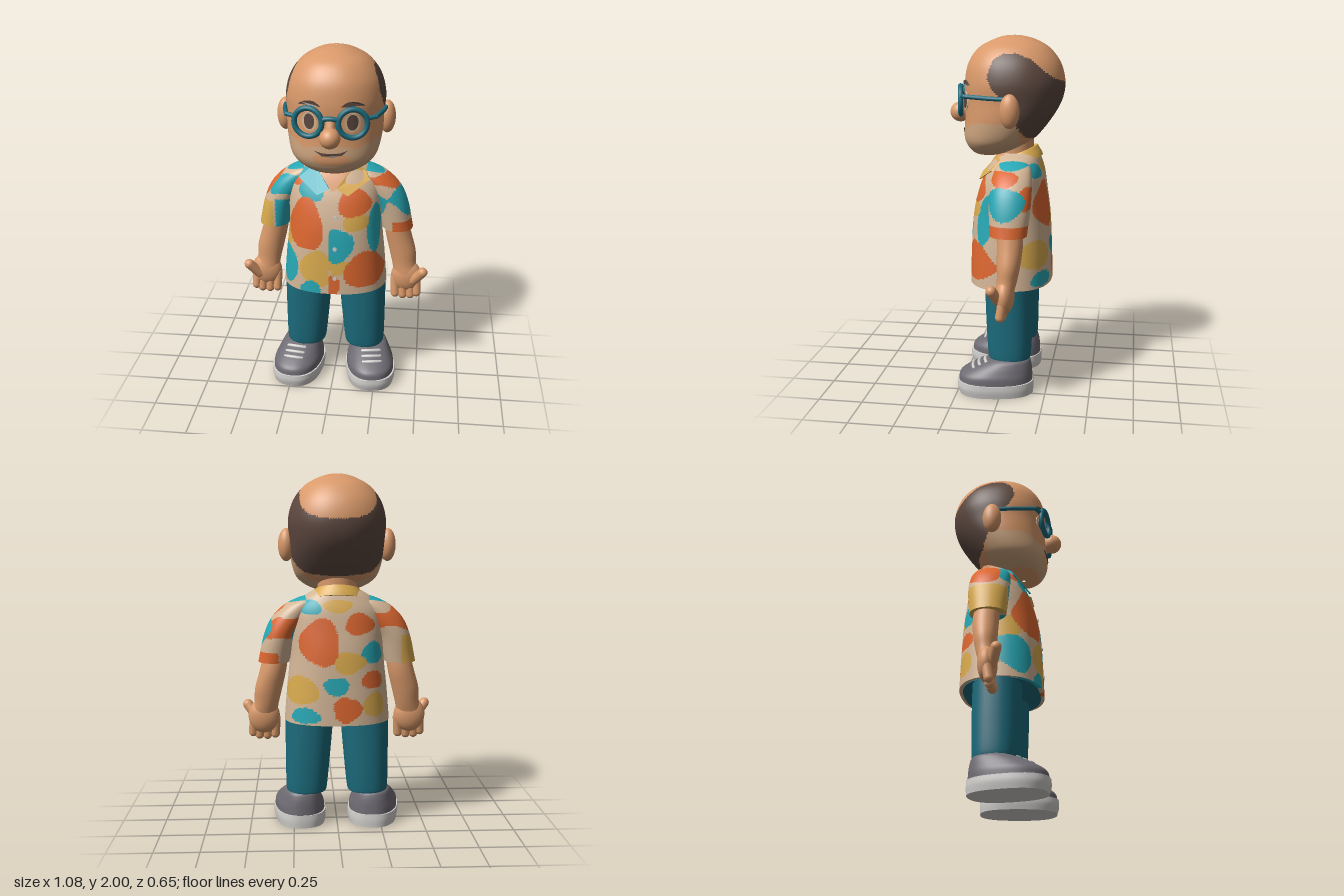
import * as THREE from 'three';

const COLORS = {
  skin: 0xd9996a, hair: 0x5d483f, stubble: 0xcda47e, teal: 0x1c6b7c, cream: 0xd3b596,
  orange: 0xdd6730, turquoise: 0x27a8b5, mustard: 0xdaab4e, grey: 0x6f6b73, white: 0xd2d0cd,
};
const M = {};
for (const [name, color] of Object.entries(COLORS)) {
  M[name] = new THREE.MeshStandardMaterial({ color });
  M[name].name = name;
}
const V = (x, y, z) => new THREE.Vector3(x, y, z);

// Piecewise linear lookup through [key, value] pairs with rising keys.
function lookup(pts, k) {
  if (k <= pts[0][0]) return pts[0][1];
  for (let i = 1; i < pts.length; i++) {
    const [a, va] = pts[i - 1], [b, vb] = pts[i];
    if (k <= b) return va + (vb - va) * (k - a) / (b - a);
  }
  return pts[pts.length - 1][1];
}

// Smooth body section at t; rows are [y, centreX, halfWidth, zBack, zFront], rising in y.
function sections(rows) {
  const a = new THREE.CatmullRomCurve3(rows.map(r => V(r[0], r[1], r[2])), false, 'catmullrom', 0.5);
  const b = new THREE.CatmullRomCurve3(rows.map(r => V((r[3] + r[4]) / 2, (r[4] - r[3]) / 2, 0)), false, 'catmullrom', 0.5);
  return t => {
    const p = a.getPoint(t), q = b.getPoint(t);
    return { y: p.x, cx: p.y, hw: p.z, cz: q.x, hz: q.y };
  };
}

// Front z of a lofted body at (x, y).
function frontZ(rows, n, x, y) {
  const f = sections(rows);
  let lo = 0, hi = 1;
  for (let i = 0; i < 24; i++) {
    const m = (lo + hi) / 2;
    if (f(m).y < y) lo = m; else hi = m;
  }
  const s = f(lo), u = Math.min(1, Math.abs((x - s.cx) / s.hw));
  return s.cz + s.hz * Math.pow(1 - Math.pow(u, n), 1 / n);
}

// Closed loft of superellipse sections; paint(x, y, z) names the colour of each face.
function loft(name, rows, paint, { side = 1, n = 2, seg = 32, rings = 24, caps = true } = {}) {
  const f = sections(rows), pos = [], faces = {};
  const pick = typeof paint === 'string' ? () => paint : paint;
  const pow = c => Math.sign(c) * Math.pow(Math.abs(c), 2 / n);
  const ring = t => {
    const s = f(t);
    for (let j = 0; j < seg; j++) {
      const a = j / seg * Math.PI * 2;
      pos.push(s.cx * side + s.hw * pow(Math.cos(a)), s.y, s.cz + s.hz * pow(Math.sin(a)));
    }
    return s;
  };
  const tri = (...v) => {
    const c = [0, 1, 2].map(k => (pos[v[0] * 3 + k] + pos[v[1] * 3 + k] + pos[v[2] * 3 + k]) / 3);
    (faces[pick(...c)] ??= []).push(...v);
  };
  for (let i = 0; i <= rings; i++) ring(i / rings);
  for (let i = 0; i < rings; i++) for (let j = 0; j < seg; j++) {
    const k = (j + 1) % seg, A = i * seg + j, B = i * seg + k;
    tri(A, A + seg, B);
    tri(B, A + seg, B + seg);
  }
  if (caps) for (const t of [0, 1]) {
    const start = pos.length / 3, s = ring(t), c = start + seg;
    pos.push(s.cx * side, s.y, s.cz);
    for (let j = 0; j < seg; j++) {
      const p = start + j, q = start + (j + 1) % seg;
      t ? tri(c, q, p) : tri(c, p, q);
    }
  }
  const g = new THREE.BufferGeometry(), index = [], mats = [];
  for (const [key, list] of Object.entries(faces)) {
    g.addGroup(index.length, list.length, mats.length);
    for (const v of list) index.push(v);
    mats.push(M[key]);
  }
  g.setAttribute('position', new THREE.Float32BufferAttribute(pos, 3));
  g.setIndex(index);
  g.computeVertexNormals();
  return part(name, g, mats.length === 1 ? mats[0] : mats);
}

function part(name, geo, mat, x = 0, y = 0, z = 0) {
  const m = new THREE.Mesh(geo, mat);
  m.name = name;
  m.position.set(x, y, z);
  return m;
}
function ball(name, mat, p, r) {
  const m = part(name, new THREE.SphereGeometry(1, 28, 20), mat, ...p);
  m.scale.set(...r);
  return m;
}
function rod(name, mat, a, b, r) {
  const p = V(...a), q = V(...b), d = q.clone().sub(p);
  const m = part(name, new THREE.CapsuleGeometry(r, d.length(), 6, 12), mat);
  m.position.copy(p).add(q).multiplyScalar(0.5);
  m.quaternion.setFromUnitVectors(V(0, 1, 0), d.normalize());
  return m;
}

// Thin plate laid on the front of a lofted body.
function plate(name, mat, pts, rows, n, lift, closedCurve = false) {
  const shape = new THREE.Shape();
  const v = pts.map(p => new THREE.Vector2(...p));
  if (closedCurve) { shape.moveTo(v[0].x, v[0].y); shape.splineThru([...v.slice(1), v[0]]); } else shape.setFromPoints(v);
  const g = new THREE.ExtrudeGeometry(shape, { depth: 0.008, bevelEnabled: false, curveSegments: 16 });
  const p = g.attributes.position;
  for (let i = 0; i < p.count; i++) p.setZ(i, p.getZ(i) + lift + frontZ(rows, n, p.getX(i), p.getY(i)));
  g.computeVertexNormals();
  return part(name, g, mat);
}
const oval = (cx, cy, rx, ry) => Array.from({ length: 28 }, (_, i) =>
  [cx + rx * Math.cos(i / 14 * Math.PI), cy + ry * Math.sin(i / 14 * Math.PI)]);

// First blob [u, v, ru, rv, colour] with a wavy rim that holds the point.
function blobAt(blobs, u, v) {
  const hit = blobs.find(([cu, cv, ru, rv]) => {
    const a = (u - cu) / ru, b = (v - cv) / rv;
    return Math.hypot(a, b) < 1 + 0.08 * Math.sin(3 * Math.atan2(b, a) + cu * 20);
  });
  return hit ? hit[4] : 'cream';
}

const HEAD = [[1.335, 0, 0.01, 0.09, 0.11], [1.345, 0, 0.09, 0.03, 0.17], [1.365, 0, 0.15, -0.03, 0.2],
  [1.4, 0, 0.205, -0.1, 0.225], [1.45, 0, 0.24, -0.17, 0.24], [1.55, 0, 0.262, -0.25, 0.235],
  [1.65, 0, 0.268, -0.305, 0.235], [1.75, 0, 0.272, -0.32, 0.235], [1.85, 0, 0.245, -0.295, 0.215],
  [1.93, 0, 0.185, -0.235, 0.16], [1.975, 0, 0.11, -0.16, 0.08], [1.995, 0, 0.05, -0.09, 0.02], [2, 0, 0.003, -0.045, -0.035]];
const SHIRT = [[0.62, 0, 0.3, -0.26, 0.205], [0.8, 0, 0.285, -0.255, 0.2], [1, 0, 0.265, -0.245, 0.188],
  [1.15, 0, 0.265, -0.225, 0.155], [1.25, 0, 0.25, -0.21, 0.115], [1.32, 0, 0.19, -0.19, 0.075], [1.36, 0, 0.13, -0.175, 0.04]];

const HAIR_TOP = [[-0.33, 1.75], [-0.27, 1.78], [-0.22, 1.82], [-0.15, 1.88], [-0.07, 1.91], [0, 1.905], [0.05, 1.87], [0.075, 1.8]];
const HAIR_LOW = [[-0.2, 1.43], [-0.12, 1.46], [-0.08, 1.53], [-0.04, 1.62], [0, 1.67], [0.05, 1.72], [0.075, 1.78]];
function paintHead(x, y, z) {
  if (z < 0.075 && y < lookup(HAIR_TOP, z) && y > lookup(HAIR_LOW, z)) return 'hair';
  const chin = Math.hypot(x / 0.1, (y - 1.445) / 0.035) < 1 && z > 0;
  const edge = 1.51 + 0.03 * Math.min(1, Math.abs(x) / 0.25) - 0.025 * Math.exp(-(((Math.abs(x) - 0.14) / 0.04) ** 2));
  return y < edge && y > 1.36 && z > -0.09 && !chin ? 'stubble' : 'skin';
}

const FRONT = [[-0.15, 1.02, 0.1, 0.15, 'orange'], [0.18, 0.76, 0.11, 0.11, 'orange'], [0.12, 1.16, 0.09, 0.08, 'orange'],
  [-0.12, 1.22, 0.07, 0.06, 'turquoise'], [-0.25, 0.76, 0.05, 0.11, 'turquoise'], [-0.12, 0.64, 0.06, 0.05, 'turquoise'],
  [-0.09, 0.77, 0.09, 0.11, 'mustard'], [0.03, 0.92, 0.09, 0.1, 'turquoise'], [0.13, 1.06, 0.07, 0.06, 'mustard'],
  [0.04, 0.79, 0.06, 0.05, 'mustard'], [0.01, 0.67, 0.035, 0.07, 'orange'], [0.23, 1, 0.035, 0.14, 'turquoise'],
  [-0.27, 0.93, 0.04, 0.07, 'mustard'], [-0.2, 1.27, 0.05, 0.04, 'orange']];
const BACK = [[0.1, 1.08, 0.11, 0.13, 'orange'], [-0.12, 1.18, 0.08, 0.06, 'orange'], [-0.06, 0.97, 0.09, 0.06, 'mustard'],
  [-0.19, 1.02, 0.06, 0.06, 'turquoise'], [0.01, 0.84, 0.07, 0.05, 'turquoise'], [-0.05, 0.71, 0.08, 0.07, 'orange'],
  [0.2, 0.81, 0.09, 0.08, 'mustard'], [0.18, 0.67, 0.08, 0.045, 'turquoise'], [0, 1.28, 0.08, 0.035, 'mustard'],
  [0.15, 1.27, 0.06, 0.04, 'turquoise'], [-0.2, 0.73, 0.06, 0.07, 'mustard'], [-0.19, 0.87, 0.06, 0.05, 'orange']];
function paintShirt(x, y, z) {
  if (z > 0 && y > 1.215 + 1.1 * Math.abs(x)) return 'skin';
  if (z < -0.03) return blobAt(BACK, x, y);
  // the two front halves do not match at the opening
  return blobAt(FRONT.filter(b => (b[0] < -0.02) === (x < -0.02)), x, y);
}
const SLEEVE = [[0.955, 0.358, 0.088, -0.155, 0.045], [1.1, 0.325, 0.09, -0.17, 0.055], [1.2, 0.272, 0.1, -0.17, 0.055],
  [1.27, 0.215, 0.09, -0.16, 0.045], [1.31, 0.165, 0.068, -0.14, 0.025], [1.335, 0.13, 0.03, -0.1, -0.02]];
const LEFT_SLEEVE = [[-0.04, 1.13, 0.1, 0.085, 'turquoise'], [-0.02, 1.25, 0.08, 0.04, 'orange'],
  [-0.15, 1.15, 0.05, 0.06, 'orange'], [-0.06, 1.32, 0.09, 0.03, 'turquoise']];
const RIGHT_SLEEVE = [[-0.08, 1.2, 0.1, 0.075, 'orange'], [0.04, 1.22, 0.05, 0.06, 'turquoise'], [-0.06, 1.32, 0.09, 0.03, 'turquoise']];
function paintSleeve(x, y, z) {
  if (x > 0) return y < 1.02 && x > 0.33 ? 'orange' : blobAt(LEFT_SLEEVE, z, y);
  if (y < 1.11 && x < -0.355) return 'mustard';
  return z > -0.05 && y < 1.13 && x > -0.34 ? 'turquoise' : blobAt(RIGHT_SLEEVE, z, y);
}

function createHead() {
  const g = new THREE.Group();
  g.name = 'head';
  g.add(loft('skull', HEAD, paintHead, { n: 2.15, seg: 144, rings: 108, caps: false }));
  g.add(loft('neck', [[1.18, 0, 0.11, -0.15, 0.06], [1.46, 0, 0.11, -0.15, 0.06]], 'skin'));
  g.add(ball('nose', M.skin, [0, 1.575, 0.268], [0.056, 0.056, 0.058]));
  g.add(rod('noseBridge', M.skin, [0, 1.6, 0.25], [0, 1.66, 0.225], 0.028));
  g.add(plate('mouth', M.hair, [[-0.085, 1.49], [-0.05, 1.482], [0, 1.479], [0.05, 1.484], [0.09, 1.497],
    [0.06, 1.472], [0.01, 1.46], [-0.045, 1.466]], HEAD, 2.15, -0.003));
  for (const s of [-1, 1]) {
    g.add(ball('ear', M.skin, [s * 0.283, 1.61, -0.05], [0.046, 0.092, 0.054]));
    g.add(plate('eyeWhite', M.cream, oval(s * 0.115, 1.65, 0.042, 0.051), HEAD, 2.15, -0.003));
    g.add(plate('iris', M.hair, oval(s * 0.115, 1.65, 0.029, 0.042), HEAD, 2.15, 0.001));
    g.add(plate('eyebrow', M.hair, [[0.055, 1.735], [0.09, 1.758], [0.135, 1.757], [0.175, 1.735], [0.135, 1.738], [0.09, 1.735]]
      .map(([x, y]) => [s * x, y]), HEAD, 2.15, 0, true));
    // glasses
    const rim = part('glassesRim', new THREE.TorusGeometry(0.076, 0.015, 12, 40), M.teal, s * 0.118, 1.652, 0.243);
    rim.rotation.y = s * 0.2;
    g.add(rim);
    const arm = [[0.19, 1.678, 0.222], [0.238, 1.682, 0.2], [0.268, 1.675, 0.06], [0.277, 1.672, -0.03]].map(p => [p[0] * s, p[1], p[2]]);
    for (let i = 0; i < 3; i++) g.add(rod('glassesArm', M.teal, arm[i], arm[i + 1], 0.012));
  }
  const arc = new THREE.QuadraticBezierCurve3(V(-0.05, 1.668, 0.255), V(0, 1.69, 0.27), V(0.05, 1.668, 0.255));
  g.add(part('glassesBridge', new THREE.TubeGeometry(arc, 12, 0.013, 10), M.teal));
  return g;
}

function createShirt() {
  const g = new THREE.Group();
  g.name = 'shirt';
  g.add(loft('shirtBody', SHIRT, paintShirt, { n: 2.4, seg: 180, rings: 80 }));
  const collar = loft('collar', [[1.335, 0, 0.165, -0.2, 0.06], [1.36, 0, 0.15, -0.19, 0.05], [1.4, 0, 0.125, -0.17, 0.04]],
    'mustard', { rings: 8, seg: 40 });
  const p = collar.geometry.attributes.position;
  for (let i = 0; i < p.count; i++) p.setY(i, p.getY(i) - 0.35 * (p.getZ(i) + 0.18));
  collar.geometry.computeVertexNormals();
  g.add(collar);
  for (const s of [-1, 1]) {
    g.add(loft('sleeve', SLEEVE, paintSleeve, { side: s, n: 2.1, seg: 80, rings: 50 }));
    g.add(plate('collarFlap', s > 0 ? M.mustard : M.turquoise,
      [[0.11, 1.35], [0.17, 1.325], [0.2, 1.275], [0.085, 1.205], [0.02, 1.24]].map(([x, y]) => [s * x, y]), SHIRT, 2.4, 0.012));
  }
  for (const y of [0.72, 0.9, 1.08]) {
    const b = part('button', new THREE.CylinderGeometry(0.012, 0.012, 0.01, 16), M.white, 0.018, y, frontZ(SHIRT, 2.4, 0.018, y));
    b.rotation.x = Math.PI / 2;
    g.add(b);
  }
  return g;
}

function createArm(s) {
  const g = new THREE.Group();
  g.name = s > 0 ? 'leftArm' : 'rightArm';
  g.add(loft('forearm', [[0.66, 0.415, 0.072, -0.095, 0.005], [0.72, 0.402, 0.07, -0.11, 0], [0.8, 0.39, 0.077, -0.125, 0.002],
    [0.9, 0.365, 0.075, -0.135, 0.005], [1, 0.345, 0.07, -0.13, 0.01]], 'skin', { side: s }));
  g.add(ball('palm', M.skin, [s * 0.418, 0.635, -0.045], [0.09, 0.1, 0.052]));
  [[0.355, 0.525], [0.4, 0.518], [0.445, 0.52], [0.482, 0.535]].forEach(([x, y]) =>
    g.add(rod('finger', M.skin, [s * (x - 0.005), 0.62, -0.042], [s * x, y, -0.028], 0.026)));
  g.add(rod('thumb', M.skin, [s * 0.46, 0.62, -0.015], [s * 0.513, 0.69, 0.015], 0.029));
  return g;
}

function createLeg(s) {
  const g = new THREE.Group();
  g.name = s > 0 ? 'leftLeg' : 'rightLeg';
  g.add(loft('trouserLeg', [[0.2, 0.175, 0.105, -0.15, 0.07], [0.215, 0.176, 0.117, -0.16, 0.083],
    [0.4, 0.168, 0.128, -0.165, 0.095], [0.66, 0.157, 0.14, -0.165, 0.105]], 'teal', { side: s, n: 2.3, seg: 40 }));
  const shoe = new THREE.Group();
  shoe.name = 'shoe';
  shoe.add(loft('sole', [[0, 0, 0.14, -0.178, 0.245], [0.04, 0, 0.147, -0.18, 0.256], [0.075, 0, 0.146, -0.178, 0.255]],
    'white', { n: 2.5, seg: 48, rings: 8 }));
  shoe.add(loft('shoeUpper', [[0.07, 0, 0.141, -0.174, 0.248], [0.11, 0, 0.138, -0.172, 0.24], [0.14, 0, 0.126, -0.17, 0.2],
    [0.17, 0, 0.112, -0.165, 0.14], [0.195, 0, 0.097, -0.155, 0.08], [0.208, 0, 0.075, -0.13, 0.04]], 'grey', { n: 2.3, seg: 48 }));
  // laces over the instep
  [[0.187, 0.1], [0.17, 0.136], [0.153, 0.17]].forEach(([y, z]) => {
    const c = new THREE.QuadraticBezierCurve3(V(-0.055, y - 0.006, z - 0.012), V(0, y + 0.008, z + 0.008), V(0.055, y - 0.006, z - 0.012));
    shoe.add(part('lace', new THREE.TubeGeometry(c, 12, 0.01, 8), M.white));
  });
  shoe.position.x = s * 0.212;
  shoe.rotation.y = s * 0.15;
  g.add(shoe);
  return g;
}

export function createModel() {
  const model = new THREE.Group();
  model.name = 'manInPatternedShirt';
  model.add(createHead(), createShirt());
  model.add(loft('trouserSeat', [[0.615, 0, 0.285, -0.24, 0.185], [0.75, 0, 0.27, -0.23, 0.17]], 'teal', { n: 2.4, rings: 4 }));
  for (const s of [-1, 1]) model.add(createArm(s), createLeg(s));
  return model;
}
